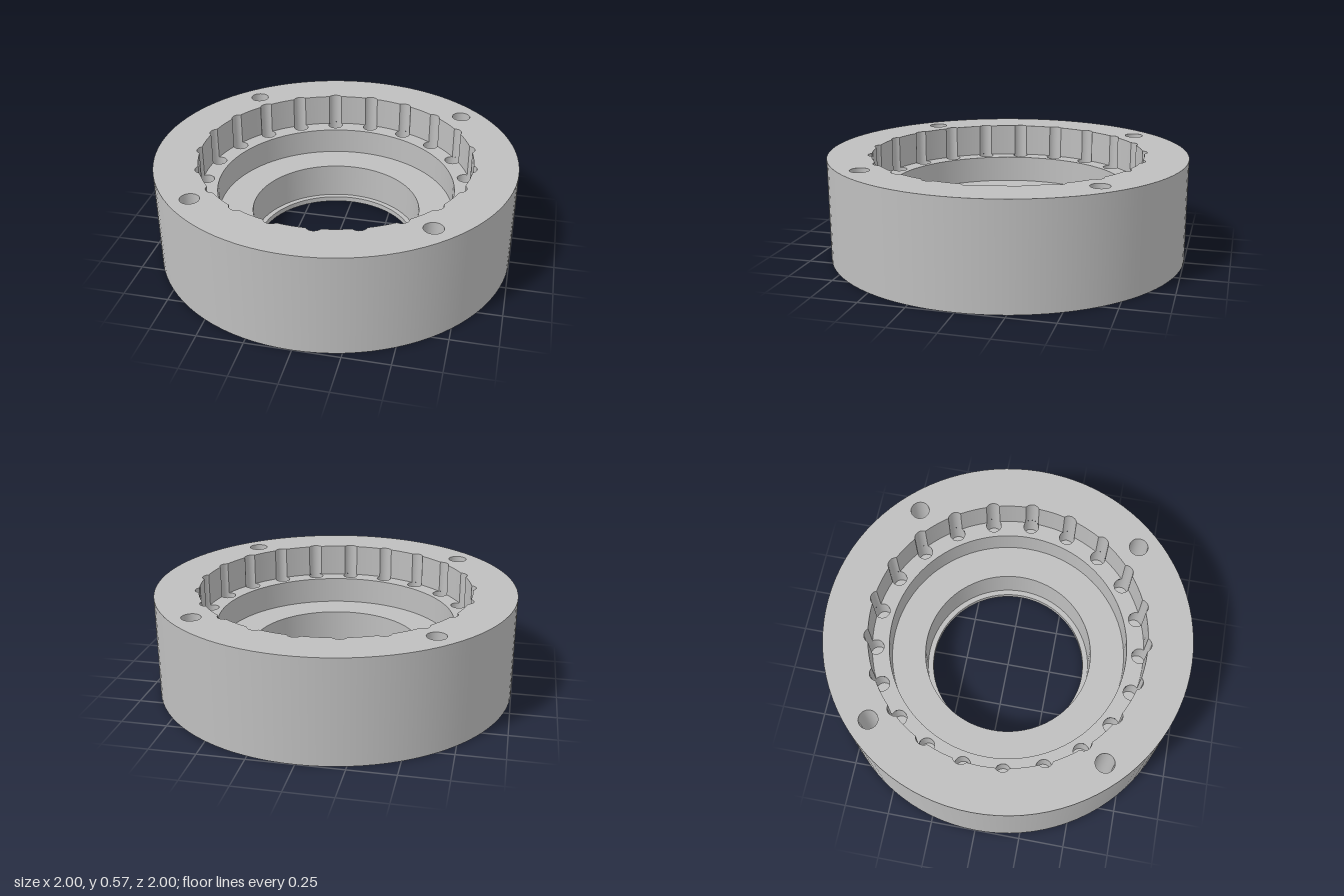
import * as THREE from 'three';
import { mergeGeometries } from 'three/addons/utils/BufferGeometryUtils.js';

// Heights of the stepped bore, bottom to top
const LIP = 0.03, FLOOR = 0.233, LEDGE = 0.385, TOP = 0.57, POCKET_FLOOR = 0.27;
// Radii of the housing
const OUTER = 1, RING = 0.757, SEAT = 0.663, BORE = 0.473, LIP_R = 0.443;
// Roller pockets and bolt holes
const COUNT = 21, STEP = (Math.PI * 2) / COUNT, PIN_C = 0.735, PIN_R = 0.043;
const BOLT_C = 0.625, BOLT_R = 0.052;

// Where a pocket circle crosses the ring wall
const cx = (RING ** 2 + PIN_C ** 2 - PIN_R ** 2) / (2 * PIN_C);
const cy = Math.sqrt(RING ** 2 - cx ** 2);
const ALPHA = Math.atan2(cy, cx);          // half angle seen from the axis
const PHI = Math.atan2(cy, cx - PIN_C);    // half angle seen from the pocket

const FULL = Math.PI * 2;

function arc(x, y, r, a0, a1, n, closed = false) {
  const pts = [];
  for (let i = 0; i < (closed ? n : n + 1); i++) {
    const a = a0 + ((a1 - a0) * i) / n;
    pts.push(new THREE.Vector2(x + r * Math.cos(a), y + r * Math.sin(a)));
  }
  return pts;
}
const circle = (r, n = 96, x = 0, y = 0) => arc(x, y, r, 0, FULL, n, true);

// Flat horizontal face with holes, looking up or down
function face(outline, holes, y, up = true) {
  const shape = new THREE.Shape(outline);
  shape.holes = holes.map((h) => new THREE.Path(h));
  return new THREE.ShapeGeometry(shape).rotateX(up ? -Math.PI / 2 : Math.PI / 2).translate(0, y, 0);
}

// Open vertical wall; angles run from +x towards +z
function wall(r, y0, y1, n = 96, inward = true, x = 0, z = 0, a0 = 0, a1 = FULL) {
  const g = new THREE.CylinderGeometry(r, r, y1 - y0, n, 1, true, Math.PI / 2 - a1, a1 - a0);
  if (inward) {
    const idx = g.index.array;
    for (let i = 0; i < idx.length; i += 3) [idx[i], idx[i + 1]] = [idx[i + 1], idx[i]];
    const nor = g.attributes.normal;
    for (let i = 0; i < nor.count; i++) nor.setXYZ(i, -nor.getX(i), -nor.getY(i), -nor.getZ(i));
  }
  return g.translate(x, (y0 + y1) / 2, z);
}

// Ring outline with the pockets bulging out, or cut inwards for the ledge
function scallop(outwards) {
  const pts = [];
  for (let i = 0; i < COUNT; i++) {
    const a = i * STEP;
    const end = outwards ? a + PHI : a + PHI - FULL;
    const pocket = arc(PIN_C * Math.cos(a), PIN_C * Math.sin(a), PIN_R, a - PHI, end, outwards ? 10 : 18);
    const land = arc(0, 0, RING, a + ALPHA, a + STEP - ALPHA, 4);
    pts.push(...pocket, ...land.slice(1, -1));
  }
  return pts;
}

export function createModel() {
  const model = new THREE.Group();
  model.name = 'bearingHousing';
  const steel = new THREE.MeshStandardMaterial({ color: 0xbfbfbf });
  steel.name = 'grey steel';
  const add = (name, ...parts) => {
    const mesh = new THREE.Mesh(mergeGeometries(parts), steel);
    mesh.name = name;
    model.add(mesh);
  };

  const bolts = [];
  for (const x of [-BOLT_C, BOLT_C]) for (const z of [-BOLT_C, BOLT_C]) bolts.push([x, z]);
  const boltOutlines = bolts.map(([x, z]) => circle(BOLT_R, 24, x, z));

  // Outer body
  add('outerWall', wall(OUTER, 0, TOP, 96, false));
  add('topFace', face(circle(OUTER), [scallop(true), ...boltOutlines], TOP));
  add('bottomFace', face(circle(OUTER), [circle(LIP_R), ...boltOutlines], 0, false));
  add('boltHoles', ...bolts.map(([x, z]) => wall(BOLT_R, 0, TOP, 24, true, x, z)));

  // Stepped bore
  add('rollerLedge', face(scallop(false), [circle(SEAT)], LEDGE));
  add('seatWall', wall(SEAT, FLOOR, LEDGE));
  add('seatFloor', face(circle(SEAT), [circle(BORE)], FLOOR));
  add('boreWall', wall(BORE, LIP, FLOOR));
  add('boreLip', face(circle(BORE), [circle(LIP_R)], LIP), wall(LIP_R, 0, LIP));

  // Ring wall with grooves that run down into blind pockets
  const lands = [], pockets = [];
  for (let i = 0; i < COUNT; i++) {
    const a = i * STEP, x = PIN_C * Math.cos(a), z = PIN_C * Math.sin(a);
    lands.push(wall(RING, LEDGE, TOP, 4, true, 0, 0, a + ALPHA, a + STEP - ALPHA));
    pockets.push(
      wall(PIN_R, LEDGE, TOP, 10, true, x, z, a - PHI, a + PHI),
      wall(PIN_R, POCKET_FLOOR, LEDGE, 24, true, x, z),
      face(circle(PIN_R, 24, x, -z), [], POCKET_FLOOR),
    );
  }
  add('ringWall', ...lands);
  add('rollerPockets', ...pockets);
  return model;
}
